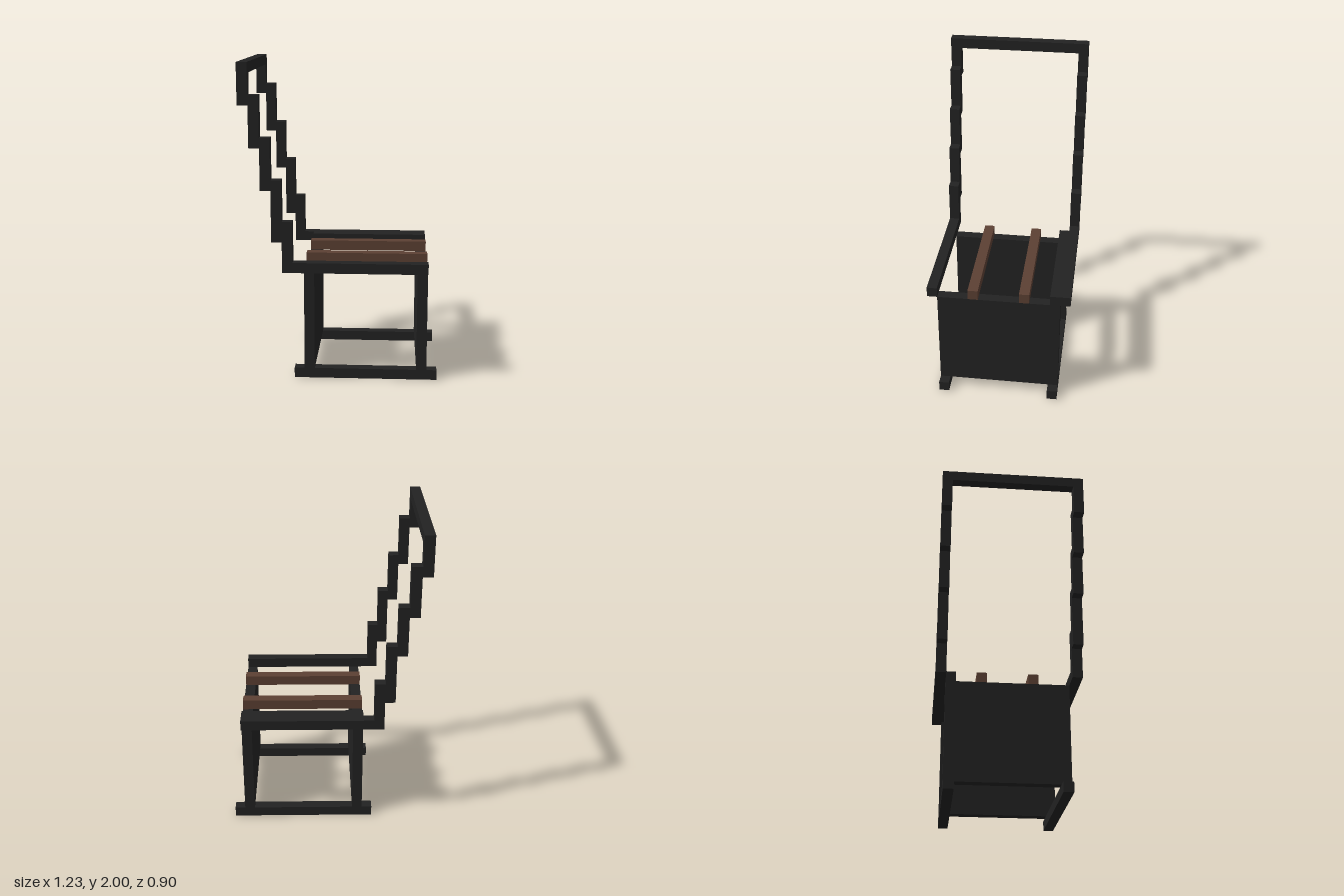
import * as THREE from 'three';

const U = 2 / 31; // one block

export function createModel() {
  const model = new THREE.Group();
  model.name = 'chair';
  const darkMetal = new THREE.MeshStandardMaterial({ color: 0x222222 });
  darkMetal.name = 'dark metal';
  const brownWood = new THREE.MeshStandardMaterial({ color: 0x5c4033 });
  brownWood.name = 'brown wood';

  // Box between two corners, measured in blocks
  function bar(name, material, [x0, x1], [y0, y1], [z0, z1]) {
    const geometry = new THREE.BoxGeometry((x1 - x0) * U, (y1 - y0) * U, (z1 - z0) * U);
    const mesh = new THREE.Mesh(geometry, material);
    mesh.name = name;
    mesh.position.set((x0 + x1) * U / 2, (y0 + y1) * U / 2, (z0 + z1) * U / 2);
    model.add(mesh);
  }

  // Upright panels under the two ends of the seat
  bar('backPanel', darkMetal, [-3.5, -2.5], [1, 11], [-6, 6]);
  bar('frontPanel', darkMetal, [7.5, 8.5], [1, 11], [-6, 6]);

  // Stepped back posts: bottom and top of each step
  const steps = [[11, 16], [14, 20], [19, 24], [23, 28], [27, 31]];

  for (const side of [-1, 1]) {
    const span = (a, b) => (side > 0 ? [a, b] : [-b, -a]);
    bar('floorRunner', darkMetal, [-4.5, 9.5], [0, 1], span(5, 6));
    bar('sideRail', darkMetal, [-4.5, 8.5], [11, 12], span(6, 7));
    bar('seatSlat', brownWood, [-3.5, 8.5], [11, 12], span(2, 3));
    steps.forEach((height, i) =>
      bar('backPostStep', darkMetal, [-5.5 - i, -4.5 - i], height, span(6, 7)));
  }

  // Inner rail on one side only, and the top bar of the backrest
  bar('innerRail', darkMetal, [-3.5, 8.5], [11, 12], [-6, -5]);
  bar('topBar', darkMetal, [-9.5, -8.5], [30, 31], [-6, 6]);

  return model;
}
